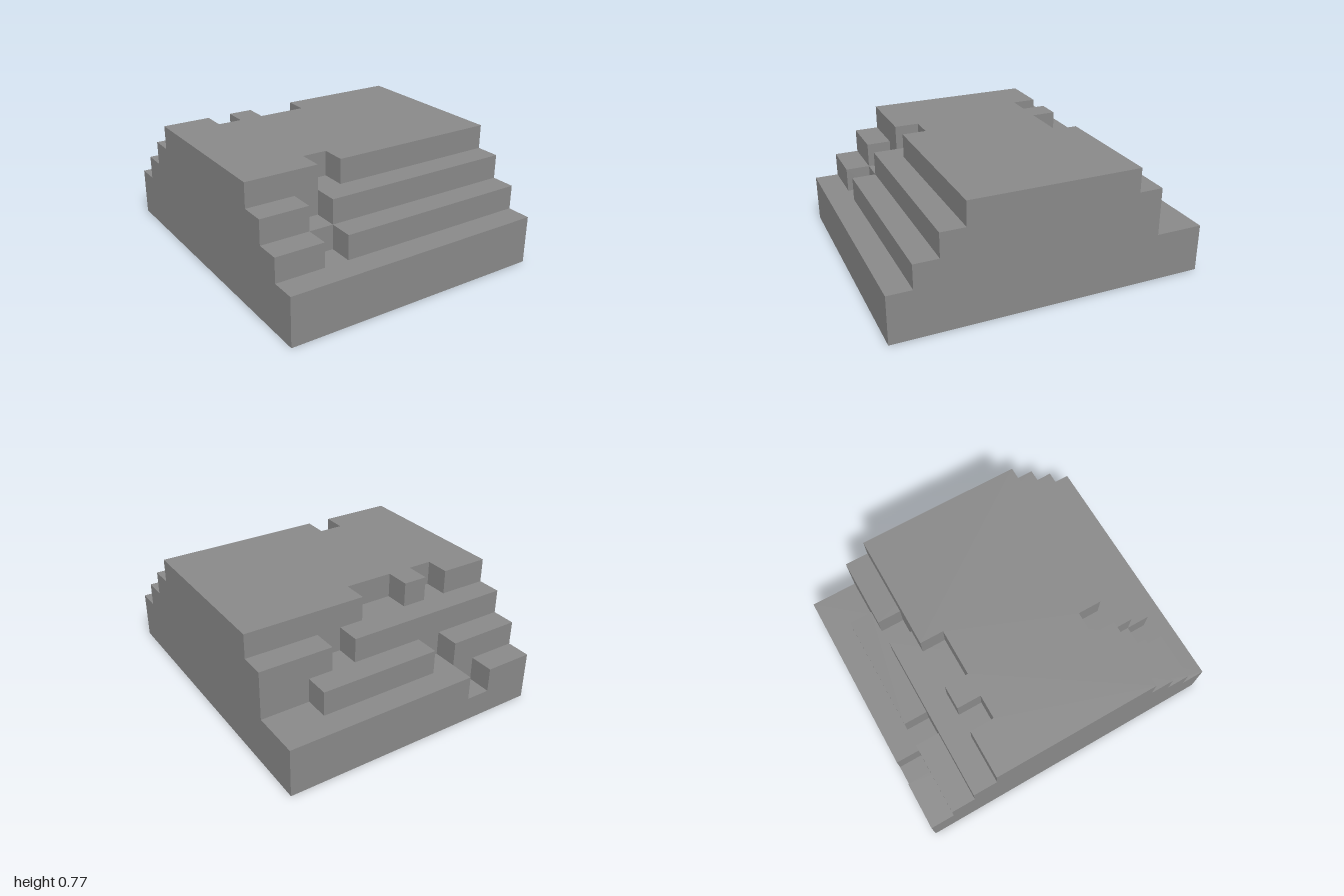
import * as THREE from 'three';

// One cell of the square grid; the block is 11 x 5 x 13 cells
const CELL = 2 / 13;

// Plan outlines (x, z) in cells, from the bottom layer up
const LAYERS = [
  ['baseLayer', [[0, 0], [11, 0], [11, 13], [0, 13]]],
  ['notchedBaseLayer', [[0, 0], [2, 0], [2, 1], [3, 1], [3, 0], [11, 0], [11, 13], [0, 13]]],
  ['lowerStep', [[0, 1], [3, 1], [3, 2], [4, 2], [4, 1], [9, 1], [9, 2], [11, 2],
    [11, 12], [3, 12], [3, 11], [2, 11], [2, 12], [0, 12]]],
  ['middleStep', [[0, 2], [7, 2], [7, 3], [8, 3], [8, 2], [11, 2],
    [11, 11], [3, 11], [3, 10], [2, 10], [2, 11], [0, 11]]],
  ['topStep', [[0, 3], [2, 3], [2, 4], [3, 4], [3, 3], [4, 3], [4, 4], [6, 4], [6, 3], [11, 3],
    [11, 10], [4, 10], [4, 9], [3, 9], [3, 10], [0, 10]]],
];

export function createModel() {
  const group = new THREE.Group();
  group.name = 'steppedBlock';
  const stone = new THREE.MeshStandardMaterial({ color: 0x888888 });
  stone.name = 'grey stone';

  // Each layer is its outline raised by one cell
  LAYERS.forEach(([name, outline], level) => {
    const points = outline.map(([x, z]) => new THREE.Vector2((x - 5.5) * CELL, (6.5 - z) * CELL));
    const geometry = new THREE.ExtrudeGeometry(new THREE.Shape(points), { depth: CELL, bevelEnabled: false });
    geometry.rotateX(-Math.PI / 2);
    const mesh = new THREE.Mesh(geometry, stone);
    mesh.name = name;
    mesh.position.y = level * CELL;
    group.add(mesh);
  });
  return group;
}
